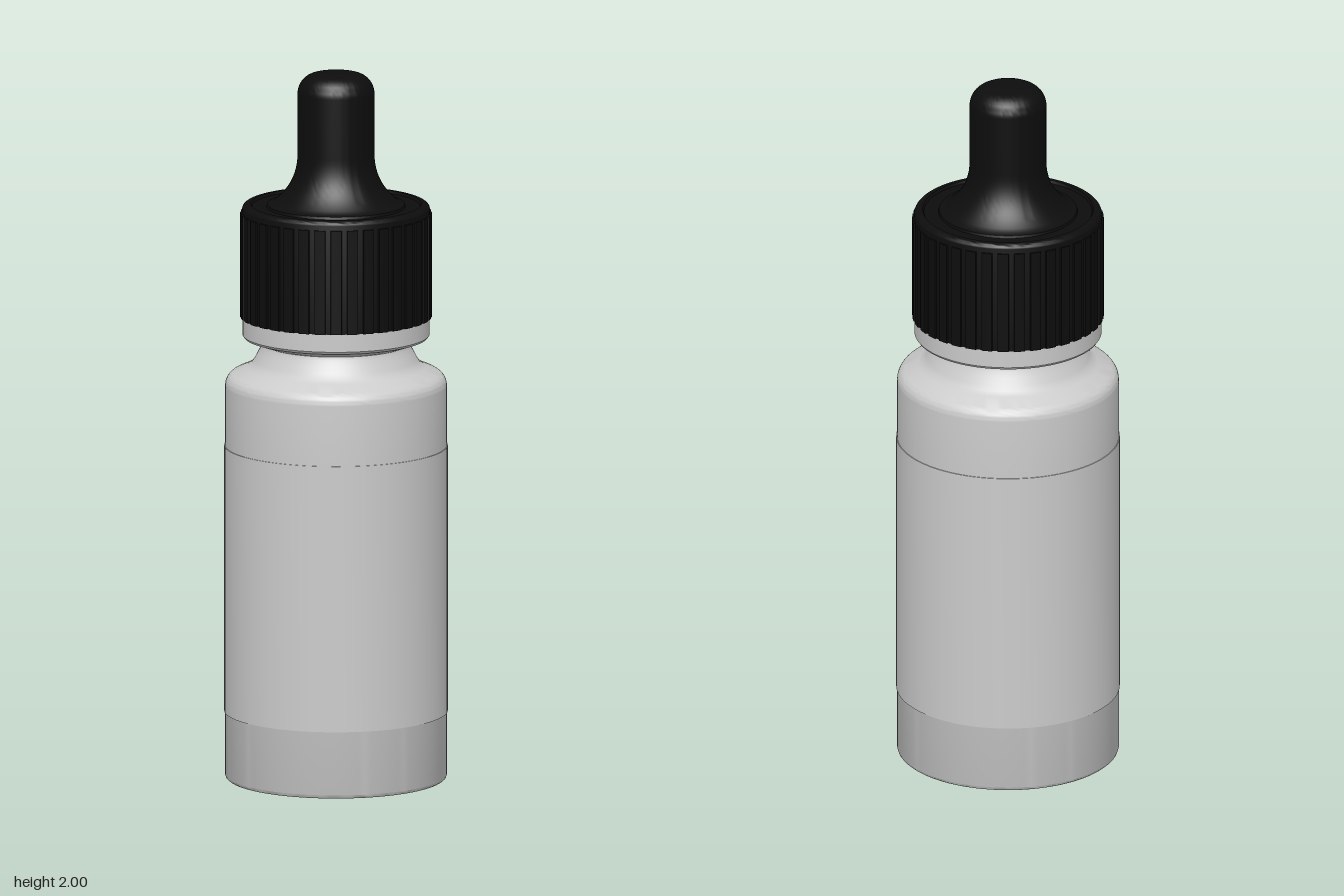
import * as THREE from 'three';
import { toCreasedNormals } from 'three/addons/utils/BufferGeometryUtils.js';

const SEGMENTS = 96;
const grey = new THREE.MeshStandardMaterial({ color: 0xcccccc });
const black = new THREE.MeshStandardMaterial({ color: 0x0d0d0d });

function addMesh(group, name, geometry, material) {
  const mesh = new THREE.Mesh(toCreasedNormals(geometry, 0.6), material);
  mesh.name = name;
  group.add(mesh);
  return mesh;
}

// Revolve [radius, height] pairs, listed from bottom to top
function lathe(profile) {
  return new THREE.LatheGeometry(profile.map(([r, y]) => new THREE.Vector2(r, y)), SEGMENTS);
}

// Quarter-round corner points around (cx, cy), from angle a to b
function arc(cx, cy, r, a, b, n = 6) {
  return Array.from({ length: n + 1 }, (_, i) => {
    const t = a + (b - a) * i / n;
    return [cx + r * Math.cos(t), cy + r * Math.sin(t)];
  });
}

// Ring of shallow grip ribs, extruded upward
function gripRibs(count, inner, outer, height) {
  const shape = new THREE.Shape();
  const step = Math.PI * 2 / count;
  for (let i = 0; i < count; i++) {
    const a = i * step;
    for (const [r, f] of [[inner, 0], [outer, 0.04], [outer, 0.36], [outer, 0.68], [inner, 0.72]]) {
      const x = r * Math.cos(a + f * step), y = r * Math.sin(a + f * step);
      if (i === 0 && f === 0) shape.moveTo(x, y);
      else shape.lineTo(x, y);
    }
  }
  shape.closePath();
  return new THREE.ExtrudeGeometry(shape, { depth: height, bevelEnabled: false }).rotateX(-Math.PI / 2);
}

export function createModel() {
  const model = new THREE.Group();
  model.name = 'dropperBottle';

  // Bottle body with rounded shoulder and waisted neck
  addMesh(model, 'bottle', lathe([
    [0, 0], [0.302, 0], [0.307, 0.004], [0.309, 0.01], [0.309, 1.115],
    ...arc(0.269, 1.115, 0.04, 0.15, 1.05, 6),
    [0.25, 1.167], [0.236, 1.177], [0.227, 1.19], [0.217, 1.21], [0.208, 1.225], [0.203, 1.24], [0.203, 1.27], [0, 1.27],
  ]), grey);

  // Label sleeve wrapped around the body
  addMesh(model, 'label', lathe([
    [0.308, 0.19], [0.3115, 0.19], [0.3115, 0.945], [0.308, 0.945],
  ]), grey);

  // Tamper ring below the cap
  addMesh(model, 'tamperRing', lathe([
    [0, 1.235], [0.205, 1.235], [0.256, 1.253], [0.261, 1.26], [0.261, 1.314], [0, 1.314],
  ]), grey);

  // Screw cap with rounded rim and a shallow groove on top
  addMesh(model, 'cap', lathe([
    [0, 1.31], [0.262, 1.31], [0.262, 1.612],
    ...arc(0.246, 1.614, 0.016, 0, Math.PI / 2),
    [0.238, 1.63], [0.234, 1.623], [0.195, 1.623], [0, 1.623],
  ]), black);

  const ribs = addMesh(model, 'capRibs', gripRibs(36, 0.259, 0.267, 0.295), black);
  ribs.position.y = 1.31;

  // Rubber bulb: flared skirt, straight stem, domed tip
  const flare = new THREE.CubicBezierCurve(
    new THREE.Vector2(0.18, 1.633), new THREE.Vector2(0.135, 1.665),
    new THREE.Vector2(0.107, 1.71), new THREE.Vector2(0.107, 1.775),
  ).getPoints(12).map(p => [p.x, p.y]);
  addMesh(model, 'bulb', lathe([
    [0.195, 1.62], [0.192, 1.63], ...flare,
    [0.107, 1.945], ...arc(0.052, 1.945, 0.055, 0.1, Math.PI / 2, 8), [0, 2],
  ]), black);

  return model;
}
